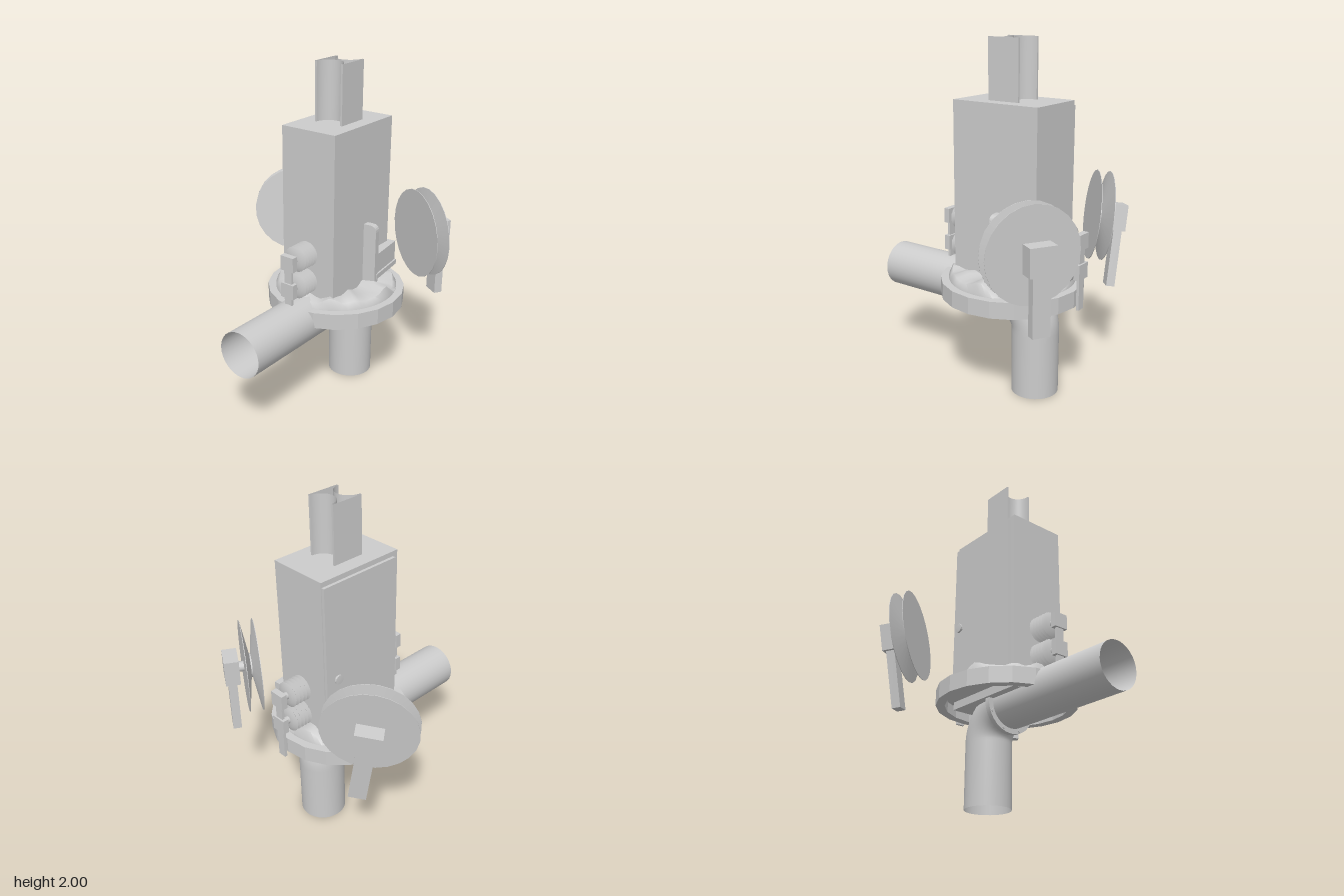
import * as THREE from 'three';
import { toCreasedNormals } from 'three/addons/utils/BufferGeometryUtils.js';

const solid = new THREE.MeshStandardMaterial({ color: 0xcccccc });
const sheet = new THREE.MeshStandardMaterial({ color: 0xcccccc, side: THREE.DoubleSide });
const CX = 0.163, CZ = 0.067; // shared vertical axis of cabinet and base ring

function add(parent, name, geo, x = 0, y = 0, z = 0, mat = solid) {
  const m = new THREE.Mesh(geo, mat);
  m.name = name;
  m.position.set(x, y, z);
  parent.add(m);
  return m;
}

// box given by its limits
function box(parent, name, x0, x1, y0, y1, z0, z1) {
  return add(parent, name, new THREE.BoxGeometry(x1 - x0, y1 - y0, z1 - z0),
    (x0 + x1) / 2, (y0 + y1) / 2, (z0 + z1) / 2);
}

function lathe(points, sides, crease = 0.5) {
  const g = new THREE.LatheGeometry(points.map(p => new THREE.Vector2(...p)), sides);
  return toCreasedNormals(g, crease);
}

// Open-topped column wall: two flanges joined by hollow curved sides
function columnGeometry(w, d, t, h) {
  const a = w / 2, b = d / 2, s = new THREE.Shape();
  s.moveTo(-a, b);
  s.lineTo(a, b);
  s.lineTo(a, b - t);
  s.absellipse(a, 0, a - 0.015, b - t, Math.PI / 2, Math.PI * 1.5, false);
  s.lineTo(a, -b);
  s.lineTo(-a, -b);
  s.lineTo(-a, -b + t);
  s.absellipse(-a, 0, a - 0.015, b - t, -Math.PI / 2, Math.PI / 2, false);
  s.lineTo(-a, b);
  const pts = s.getPoints(12), n = pts.length;
  const g = new THREE.PlaneGeometry(1, h, n - 1, 1), pos = g.attributes.position;
  for (let i = 0; i < pos.count; i++) {
    pos.setX(i, pts[i % n].x);
    pos.setZ(i, pts[i % n].y);
  }
  return toCreasedNormals(g, 0.6);
}

// Rough earth filling the ring: concentric loops with uneven heights
function moundGeometry() {
  const n = 60, radii = [0, 0.15, 0.27, 0.34, 0.362, 0.362, 0], pos = [], idx = [];
  const heights = [0.7, 0.705, 0.71, 0.7, 0.667, 0.625, 0.625];
  const rough = [0, 0.5, 1, 1, 0.3, 0, 0];
  radii.forEach((r, k) => {
    for (let i = 0; i < n; i++) {
      const a = i / n * Math.PI * 2;
      const bump = 0.013 * Math.sin(7 * a + 0.6 * k) + 0.011 * Math.sin(11 * a + 1) + 0.006 * Math.sin(17 * a);
      pos.push(r * Math.sin(a), heights[k] + bump * rough[k], r * Math.cos(a));
    }
  });
  for (let k = 0; k < radii.length - 1; k++) {
    for (let i = 0; i < n; i++) {
      const j = (i + 1) % n, p = k * n + i, q = k * n + j;
      idx.push(p, p + n, q + n, p, q + n, q);
    }
  }
  const g = new THREE.BufferGeometry();
  g.setAttribute('position', new THREE.Float32BufferAttribute(pos, 3));
  g.setIndex(idx);
  return toCreasedNormals(g, 0.9);
}

// Grooved wheel on a block and post; local +z is the outward axle
function wheelUnit(parent, name, x, y, z, yaw, pitch, roll, postEnd) {
  const g = new THREE.Group();
  g.name = name;
  g.position.set(x, y, z);
  g.rotation.set(pitch, yaw, roll, 'YXZ');
  const R = 0.266, h = 0.04;
  const wheel = lathe([[0, -h], [R, -h], [R, -h + 0.003], [0.07, -0.004], [0.07, 0.004],
    [R, h - 0.003], [R, h], [0, h]], 24, 0.4);
  add(g, 'groovedWheel', wheel.rotateX(Math.PI / 2));
  add(g, 'axle', new THREE.CylinderGeometry(0.03, 0.03, 0.08, 12).rotateX(Math.PI / 2), 0, 0, 0.065);
  box(g, 'axleBlock', -0.075, 0.075, -0.075, 0.08, 0.07, 0.155);
  box(g, 'wheelPost', -0.05, 0.05, postEnd, -0.07, 0.09, 0.14);
  parent.add(g);
}

// Pair of ribbed insulators with terminals; side is -1 or +1 along x
function insulators(parent, side) {
  const g = new THREE.Group();
  g.name = side < 0 ? 'rightInsulators' : 'leftInsulators';
  g.position.set(CX, 0, CZ);
  g.rotation.y = side < 0 ? Math.PI : 0;
  const ribs = 5, pitch = 0.025, start = 0.27, profile = [[0, start]];
  for (let i = 0; i < ribs; i++) {
    profile.push([0.05, start + i * pitch], [0.075, start + (i + 0.6) * pitch]);
  }
  profile.push([0.05, start + ribs * pitch], [0, start + ribs * pitch]);
  for (const y of [0.953, 0.787]) {
    add(g, 'ribbedInsulator', lathe(profile, 20, 0.4).rotateZ(-Math.PI / 2), 0, y, 0);
    add(g, 'terminalPin', new THREE.CylinderGeometry(0.022, 0.022, 0.06, 10).rotateZ(Math.PI / 2), 0.415, y, 0);
    box(g, 'terminalBlock', 0.428, 0.464, y - 0.045, y + 0.042, -0.044, 0.044);
  }
  box(g, 'terminalStrip', 0.438, 0.454, 0.565, 0.93, -0.025, 0.025);
  parent.add(g);
}

export function createModel() {
  const model = new THREE.Group();
  model.name = 'signalMachine';

  // Cabinet, door and column
  box(model, 'cabinet', -0.11, 0.437, 0.578, 1.666, -0.112, 0.246);
  box(model, 'door', -0.077, 0.432, 0.7, 1.637, -0.13, -0.11);
  const knob = lathe([[0, 0], [0.012, 0], [0.012, 0.012], [0.028, 0.014], [0.028, 0.024], [0, 0.026]], 12);
  add(model, 'doorKnob', knob.rotateX(-Math.PI / 2), 0.362, 1.07, -0.13);
  add(model, 'column', columnGeometry(0.195, 0.185, 0.012, 0.34), CX, 1.83, 0.07, sheet);

  // Base ring and earth
  const ring = lathe([[0.358, 0.563], [0.41, 0.563], [0.41, 0.658], [0.358, 0.658], [0.358, 0.563]], 20, 0.2);
  add(model, 'baseRing', ring, CX, 0, CZ);
  add(model, 'earth', moundGeometry(), CX, 0, CZ);

  // Pipe: horizontal run, elbow, vertical run
  const v = (x, y) => new THREE.Vector3(x, y, CZ);
  const path = new THREE.CurvePath();
  path.add(new THREE.LineCurve3(v(-0.7, 0.563), v(0.14, 0.563)));
  path.add(new THREE.CubicBezierCurve3(v(0.14, 0.563), v(0.242, 0.563), v(0.325, 0.48), v(0.325, 0.378)));
  path.add(new THREE.LineCurve3(v(0.325, 0.378), v(0.325, 0)));
  add(model, 'pipe', new THREE.TubeGeometry(path, 70, 0.135, 32, false), 0, 0, 0, sheet);

  // Pipe clamp with bolts
  const clamp = lathe([[0.13, -0.016], [0.165, -0.016], [0.165, 0.016], [0.13, 0.016], [0.13, -0.016]], 28);
  add(model, 'pipeClamp', clamp.rotateZ(Math.PI / 2), 0.14, 0.563, CZ);
  for (let i = 0; i < 8; i++) {
    const a = (i + 0.5) / 8 * Math.PI * 2;
    add(model, 'clampBolt', new THREE.CylinderGeometry(0.009, 0.009, 0.046, 6).rotateZ(Math.PI / 2),
      0.14, 0.563 + 0.15 * Math.cos(a), CZ + 0.15 * Math.sin(a));
  }

  // Lever bracket on the cabinet front
  const lever = new THREE.Group();
  lever.name = 'frontLever';
  lever.position.set(0.18, 0, 0.235);
  lever.rotation.y = 0.12;
  const s = new THREE.Shape();
  s.moveTo(0, 0.68);
  s.lineTo(0.09, 0.68);
  s.lineTo(0.09, 1.04);
  s.quadraticCurveTo(0.09, 1.08, 0.05, 1.08);
  s.lineTo(0, 1.08);
  s.closePath();
  const plate = new THREE.ExtrudeGeometry(s, { depth: 0.04, bevelEnabled: false, curveSegments: 5 });
  add(lever, 'leverPlate', plate.rotateY(-Math.PI / 2), 0.04, 0, 0);
  box(lever, 'leverBox', 0.04, 0.28, 0.77, 0.89, 0, 0.085);
  box(lever, 'leverFoot', 0.02, 0.28, 0.74, 0.77, 0, 0.095);
  model.add(lever);

  // Insulators on both sides, and the two wheels
  insulators(model, -1);
  insulators(model, 1);
  wheelUnit(model, 'frontWheel', 0.525, 0.965, 0.427, Math.atan2(0.86, 0.51), 0, 0, -0.402);
  wheelUnit(model, 'rearWheel', 0.424, 0.948, -0.447, Math.atan2(0.78, -0.62), 0.12, -0.15, -0.412);

  return model;
}
